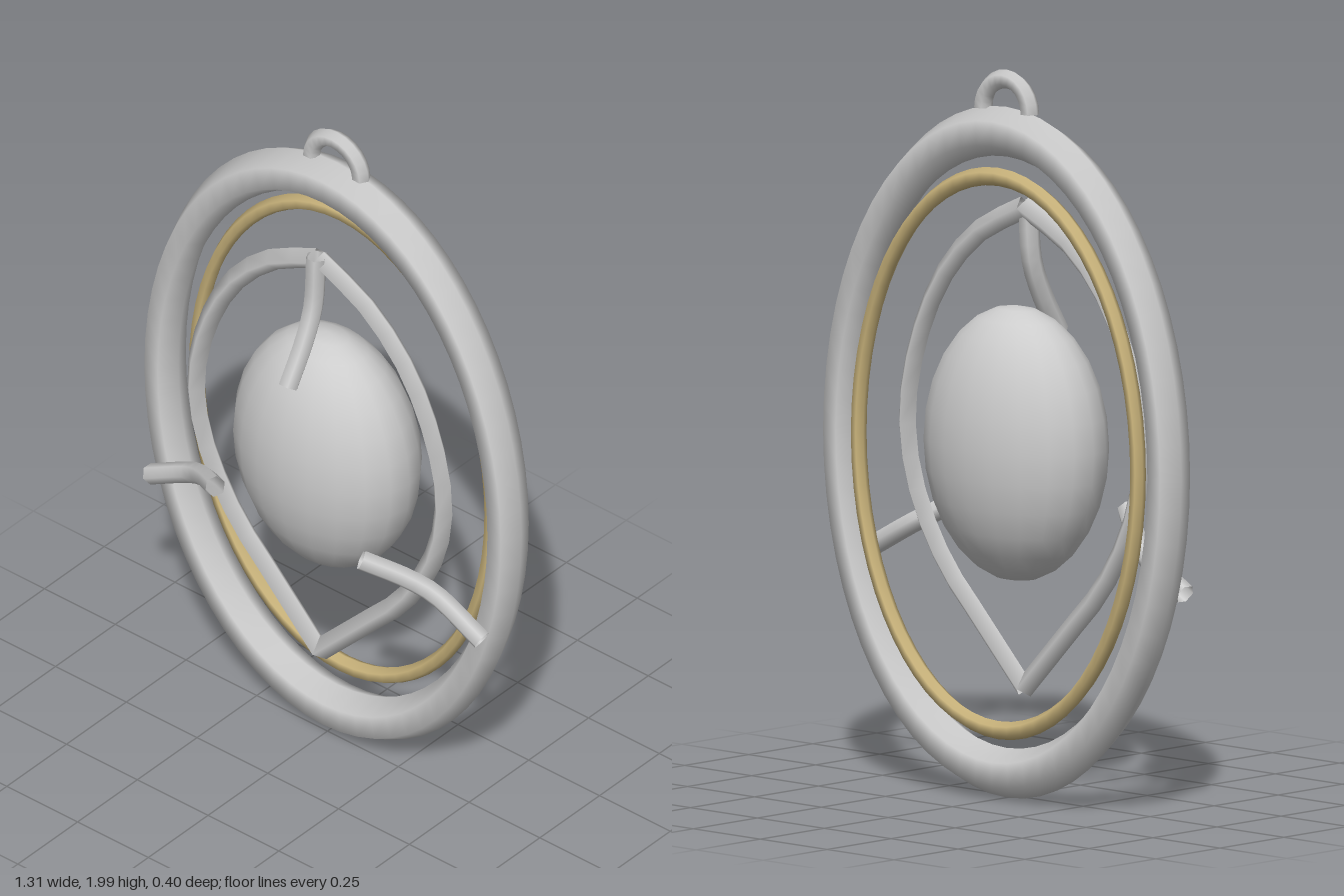
import * as THREE from 'three';

const silver = new THREE.MeshStandardMaterial({ color: 0xcccccc, side: THREE.DoubleSide });
silver.name = 'silver';
const gold = new THREE.MeshStandardMaterial({ color: 0xcab47c });
gold.name = 'gold';

// Oval ring: a six-sided torus narrowed across its width
function ovalRing(height, width, r) {
  return new THREE.TorusGeometry(height, r, 6, 64).scale(width / height, 1, 1);
}

// Open tube through a few points
function tube(points, r, segments, sides) {
  const curve = new THREE.CatmullRomCurve3(points.map((p) => new THREE.Vector3(...p)));
  return new THREE.TubeGeometry(curve, segments, r, sides);
}

export function createModel() {
  const model = new THREE.Group();
  model.name = 'pendant';
  const add = (name, geometry, material, x = 0, y = 0, z = 0) => {
    const mesh = new THREE.Mesh(geometry, material);
    mesh.name = name;
    mesh.position.set(x, y, z);
    model.add(mesh);
    return mesh;
  };

  // Frame, gold inlay ring set towards the back, and hanging loop
  add('outerRing', ovalRing(0.877, 0.606, 0.068), silver, 0, 0.953, -0.038);
  add('innerRing', ovalRing(0.757, 0.522, 0.025), gold, 0, 0.953, -0.07);
  add('hangingLoop', new THREE.TorusGeometry(0.087, 0.026, 6, 12, Math.PI), silver, 0, 1.887, -0.038);

  // Oval stone
  const gem = add('stone', new THREE.SphereGeometry(1, 20, 14), silver, 0, 0.974, 0);
  gem.scale.set(0.29, 0.377, 0.2);

  // Pointed inner frame and lower prongs, mirrored
  for (const s of [1, -1]) {
    const side = s > 0 ? 'left' : 'right';
    const arc = [[0, 1.615], [0.17, 1.53], [0.3, 1.4], [0.385, 1.24], [0.43, 1.08], [0.437, 0.97],
      [0.415, 0.84], [0.36, 0.71], [0.28, 0.59], [0.187, 0.493], [0.094, 0.397], [0, 0.3]];
    add(side + 'PointedFrame', tube(arc.map(([x, y]) => [s * x, y, 0.032]), 0.031, 18, 4), silver);
    add(side + 'Prong', tube([[s * 0.585, 0.62, 0.048], [s * 0.43, 0.705, 0.058],
      [s * 0.36, 0.745, 0.092], [s * 0.258, 0.8, 0.165]], 0.029, 10, 6), silver);
  }

  // Upper prong
  add('topProng', tube([[0, 1.63, 0.048], [0, 1.47, 0.06], [0, 1.37, 0.1], [0, 1.26, 0.165]],
    0.029, 10, 6), silver);

  return model;
}
